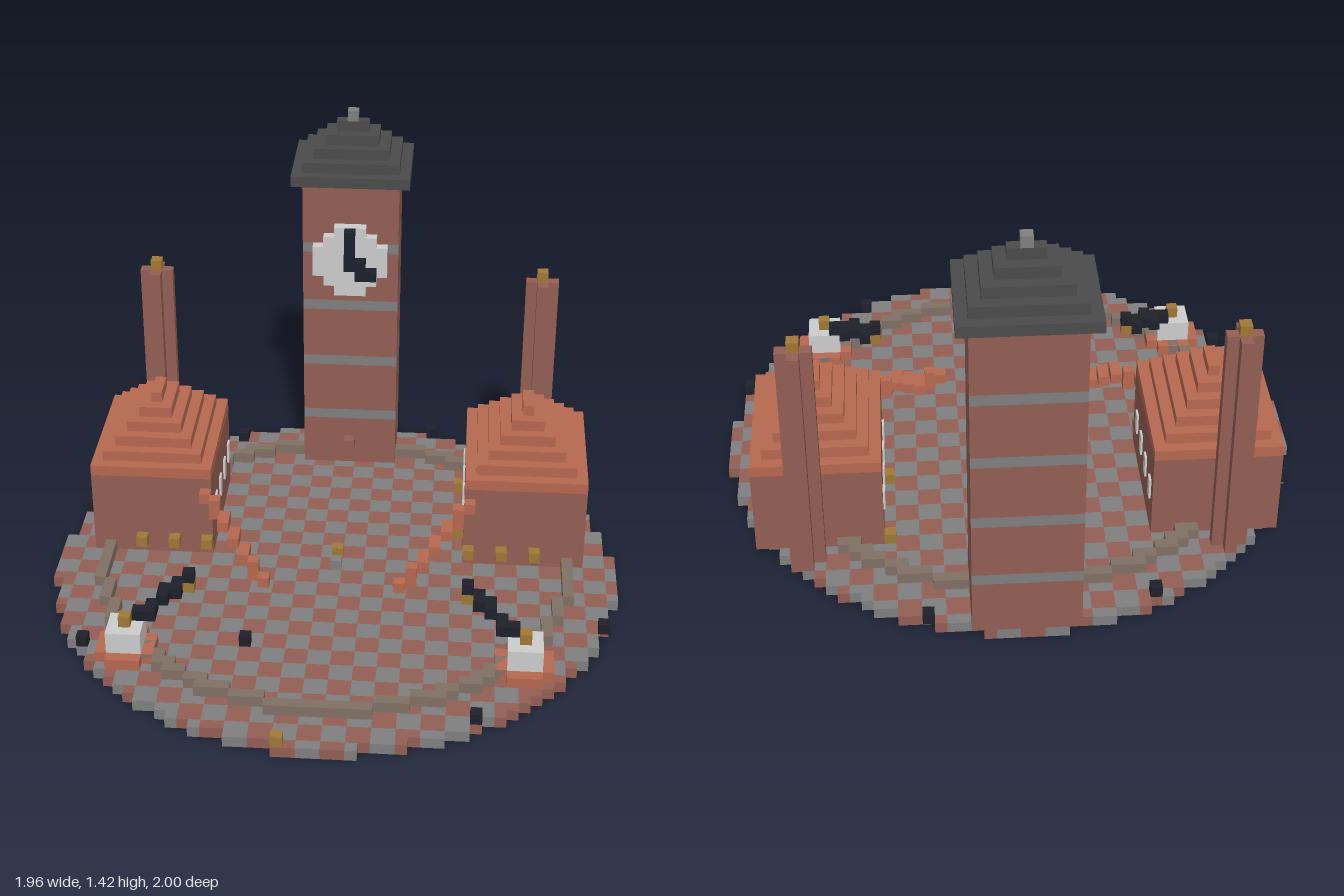
import * as THREE from 'three';
import { mergeGeometries } from 'three/addons/utils/BufferGeometryUtils.js';

const U = 1 / 26; // cube size

const material = (name, color) => {
  const m = new THREE.MeshStandardMaterial({ color });
  m.name = name;
  return m;
};

// Box from cell a to cell b inclusive; x cells are centred on 0, y and z cells start at 0
function cells(a, b = a) {
  const [x, y, z] = [0, 1, 2].map((n) => (a[n] + b[n] + 1) / 2);
  return new THREE.BoxGeometry(...[0, 1, 2].map((n) => (Math.abs(b[n] - a[n]) + 1) * U))
    .translate((x - 0.5) * U, y * U, z * U);
}

export function createModel() {
  const brick = material('brick red', 0x925e53);
  const stone = material('stone grey', 0x7f7f7f);
  const terracotta = material('terracotta', 0xb66850);
  const slate = material('dark slate', 0x4b4b4b);
  const white = material('pale white', 0xcccccc);
  const curbMat = material('curb taupe', 0x807064);
  const gold = material('gold', 0x9f7836);
  const black = material('blue black', 0x1e202a);

  const model = new THREE.Group();
  model.name = 'clockTowerPlaza';
  const add = (name, mat, geometries, parent = model) => {
    const mesh = new THREE.Mesh(mergeGeometries(geometries), mat);
    mesh.name = name;
    parent.add(mesh);
    return mesh;
  };
  const cubes = (name, mat, list, parent) => add(name, mat, list.map((c) => cells(c)), parent);

  // Round chequered floor, made from runs of equal colour in each row
  const tiles = [[], []];
  const isGrey = (i, k) => (Math.floor((i + 1) / 2) + Math.floor((k + 1) / 2)) & 1;
  for (let k = -25; k <= 25; k++) {
    const half = Math.floor(Math.sqrt(635 - k * k));
    for (let start = -half, i = -half; i <= half; i++) {
      if (i === half || isGrey(i + 1, k) !== isGrey(start, k)) {
        tiles[isGrey(start, k)].push(cells([start, 0, k], [i, 0, k]));
        start = i + 1;
      }
    }
  }
  add('redPaving', brick, tiles[0]);
  add('greyPaving', stone, tiles[1]);

  // Low ring curb
  const curb = [];
  for (let i = -22; i <= 22; i++) {
    for (let k = -22; k <= 22; k++) {
      const inBuilding = Math.abs(i) >= 12 && k >= -14 && k <= -2;
      const inTower = Math.abs(i) <= 4 && k <= -19;
      if (Math.abs(Math.hypot(i, k) - 21) < 0.5 && !inBuilding && !inTower) curb.push([i, 1, k]);
    }
  }
  cubes('ringCurb', curbMat, curb);

  // Clock tower with four stone bands
  const tower = new THREE.Group();
  tower.name = 'clockTower';
  model.add(tower);
  const shaft = [], bands = [];
  for (let b = 0; b < 5; b++) {
    const low = b === 0 ? 1 : b * 6 + 1;
    const high = b === 4 ? 30 : b * 6 + 5;
    shaft.push(cells([-4, low, -25], [4, high, -19]));
    if (b < 4) bands.push(cells([-4, high + 1, -25], [4, high + 1, -19]));
  }
  add('towerShaft', brick, shaft, tower);
  add('towerBands', stone, bands, tower);
  cubes('doorBlock', brick, [[0, 3, -18]], tower);
  const towerRoof = [];
  for (let n = 0; n < 5; n++) {
    towerRoof.push(cells([n - 5, 31 + n, n - 26], [5 - n, 31 + n, -18 - n]));
  }
  add('towerRoof', slate, towerRoof, tower);
  cubes('towerFinial', stone, [[0, 36, -22]], tower);

  // Clock face and hands
  const face = [];
  for (let dy = -3; dy <= 3; dy++) {
    const half = Math.floor(Math.sqrt(10 - dy * dy));
    face.push(cells([-half, 23 + dy, -18], [half, 23 + dy, -18]));
  }
  add('clockFace', white, face, tower);
  add('minuteHand', black, [cells([0, 23, -17], [0, 26, -17])], tower);
  cubes('hourHand', black, [[1, 23, -17], [1, 22, -17], [2, 22, -17]], tower);

  // Paired halls, chimneys, garlands and monuments
  for (const s of [-1, 1]) {
    const side = s > 0 ? 'left' : 'right';
    const hall = new THREE.Group();
    hall.name = side + 'Hall';
    model.add(hall);
    add('hallWalls', brick, [cells([s * 17 - 5, 1, -14], [s * 17 + 5, 8, -2])], hall);
    const roof = [];
    for (let n = 0; n < 6; n++) {
      roof.push(cells([s * 17 - 5 + n, 9 + n, n - 14], [s * 17 + 5 - n, 9 + n, -2 - n]));
    }
    add('hallRoof', terracotta, roof, hall);

    // Thin windows along the inner wall
    const windows = [-13, -10, -7, -4].map((k) =>
      new THREE.BoxGeometry(0.008, 2 * U, U).translate(s * (11.5 * U - 0.003), 5 * U, (k + 0.5) * U));
    add('hallWindows', white, windows, hall);
    cubes('wallLamps', gold, [12, 15, 18].map((i) => [s * i, 2, -1]), hall);

    // Cross-shaped chimney with gold tip
    add('chimney', brick, [
      cells([s * 18, 1, -17], [s * 18, 22, -15]),
      cells([s * 18 - 1, 1, -16], [s * 18 - 1, 22, -16]),
      cells([s * 18 + 1, 1, -16], [s * 18 + 1, 22, -16]),
    ], hall);
    cubes('chimneyTip', gold, [[s * 18, 23, -16]], hall);

    // Stepped arm descending from the hall to the plaza
    const arm = new Map();
    for (let n = 0; n <= 11; n++) {
      const t = n / 11;
      const c = [s * Math.round(12 - 6 * t), Math.round(7 - 4 * t), Math.round(-1 + 7 * t)];
      arm.set(c.join(), c);
    }
    cubes('steppedArm', terracotta, [...arm.values()], hall);

    // Monument with plinth and a rising dark figure
    const monument = new THREE.Group();
    monument.name = side + 'Monument';
    model.add(monument);
    add('plinthBase', terracotta, [-2, -1, 0, 1, 2].map((d) => {
      const half = Math.abs(d) === 2 ? 1 : 2;
      return cells([s * 17 - half, 1, 14 + d], [s * 17 + half, 1, 14 + d]);
    }), monument);
    add('plinth', white, [cells([s * 17 - 1, 2, 13], [s * 17 + 1, 3, 15])], monument);
    cubes('figureBody', black, [[16, 4, 13], [15, 4, 12], [15, 4, 13], [14, 5, 12], [14, 5, 11],
      [13, 5, 11], [13, 5, 10], [12, 6, 10]].map(([i, j, k]) => [s * i, j, k]), monument);
    cubes('figureAccents', gold, [[s * 17, 4, 14], [s * 12, 5, 10]], monument);
  }

  // Small blocks scattered on the paving
  cubes('darkBlocks', black, [[-11, 1, -22], [8, 1, -24], [-24, 1, -8], [-21, 1, 13],
    [24, 1, 8], [13, 1, 21], [-7, 1, 12]]);
  cubes('goldBlocks', gold, [[0, 1, -2], [-3, 1, 25], [11, 1, -6], [11, 1, -14]]);
  cubes('centreStone', stone, [[0, 1, 0]]);

  return model;
}
